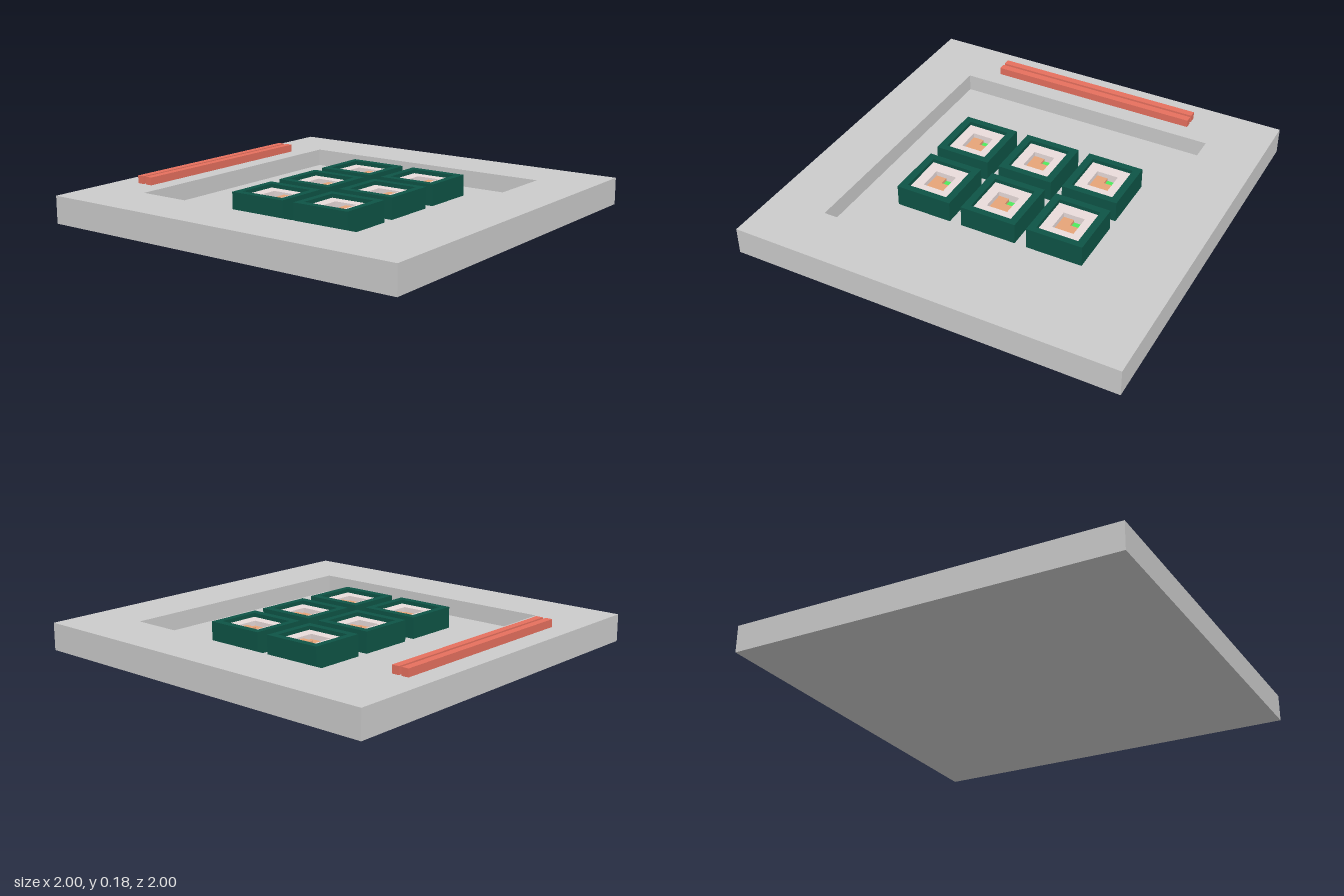
import * as THREE from 'three';

const material = (color) => new THREE.MeshStandardMaterial({ color });

// Closed rectangle outline, usable as a shape or as a hole
function rect(target, hx, hz) {
  target.moveTo(-hx, -hz);
  target.lineTo(hx, -hz);
  target.lineTo(hx, hz);
  target.lineTo(-hx, hz);
  target.closePath();
  return target;
}

// Rectangular frame lying flat, standing on y = 0
function frameGeometry(hx, hz, innerX, innerZ, height) {
  const shape = rect(new THREE.Shape(), hx, hz);
  shape.holes.push(rect(new THREE.Path(), innerX, innerZ));
  return new THREE.ExtrudeGeometry(shape, { depth: height, bevelEnabled: false })
    .rotateX(-Math.PI / 2);
}

function addMesh(parent, name, geometry, mat, x = 0, y = 0, z = 0) {
  const mesh = new THREE.Mesh(geometry, mat);
  mesh.name = name;
  mesh.position.set(x, y, z);
  parent.add(mesh);
}

// Box given by its centre in x and z and its bottom and top
function addBox(parent, name, mat, x, z, w, d, bottom, top) {
  addMesh(parent, name, new THREE.BoxGeometry(w, top - bottom, d), mat,
    x, (bottom + top) / 2, z);
}

export function createModel() {
  const model = new THREE.Group();
  model.name = 'trayWithPlanters';

  const pale = material(0xfaf7f7);
  const green = material(0x0e5446);
  const filling = material(0xe9dbda);
  const orange = material(0xe6a478);
  const leaf = material(0x4fea5c);
  const red = material(0xe6705e);

  const floorY = 0.05;
  const rimY = 0.14;

  // Square tray: raised border around a recessed floor
  const tray = new THREE.Group();
  tray.name = 'tray';
  model.add(tray);
  addMesh(tray, 'trayBorder', frameGeometry(1, 1, 0.702, 0.702, rimY), pale);
  addBox(tray, 'trayFloor', pale, 0, 0, 1.404, 1.404, 0, floorY);

  // Six open boxes, each with a filling and stepped blocks sunk in its middle
  const wall = frameGeometry(0.147, 0.157, 0.109, 0.122, 0.16 - floorY);
  const soil = frameGeometry(0.109, 0.122, 0.056, 0.062, 0.14 - floorY);
  for (const z of [-0.157, 0.222]) {
    for (const x of [-0.345, 0.013, 0.368]) {
      const box = new THREE.Group();
      box.name = 'planter';
      box.position.set(x, 0, z);
      model.add(box);
      addMesh(box, 'planterWall', wall, green, 0, floorY, 0);
      addMesh(box, 'planterFilling', soil, filling, 0, floorY, 0);
      addBox(box, 'longBlock', orange, -0.028, 0, 0.056, 0.124, floorY, 0.115);
      addBox(box, 'shortBlock', orange, 0.028, 0.031, 0.056, 0.062, floorY, 0.13);
      addBox(box, 'greenBlock', leaf, 0.028, -0.031, 0.056, 0.062, floorY, 0.1);
    }
  }

  // Pair of bars on the back of the border
  for (const z of [-0.867, -0.814]) {
    addBox(model, 'bar', red, 0, z, 1.12, 0.038, rimY, 0.18);
  }

  return model;
}
